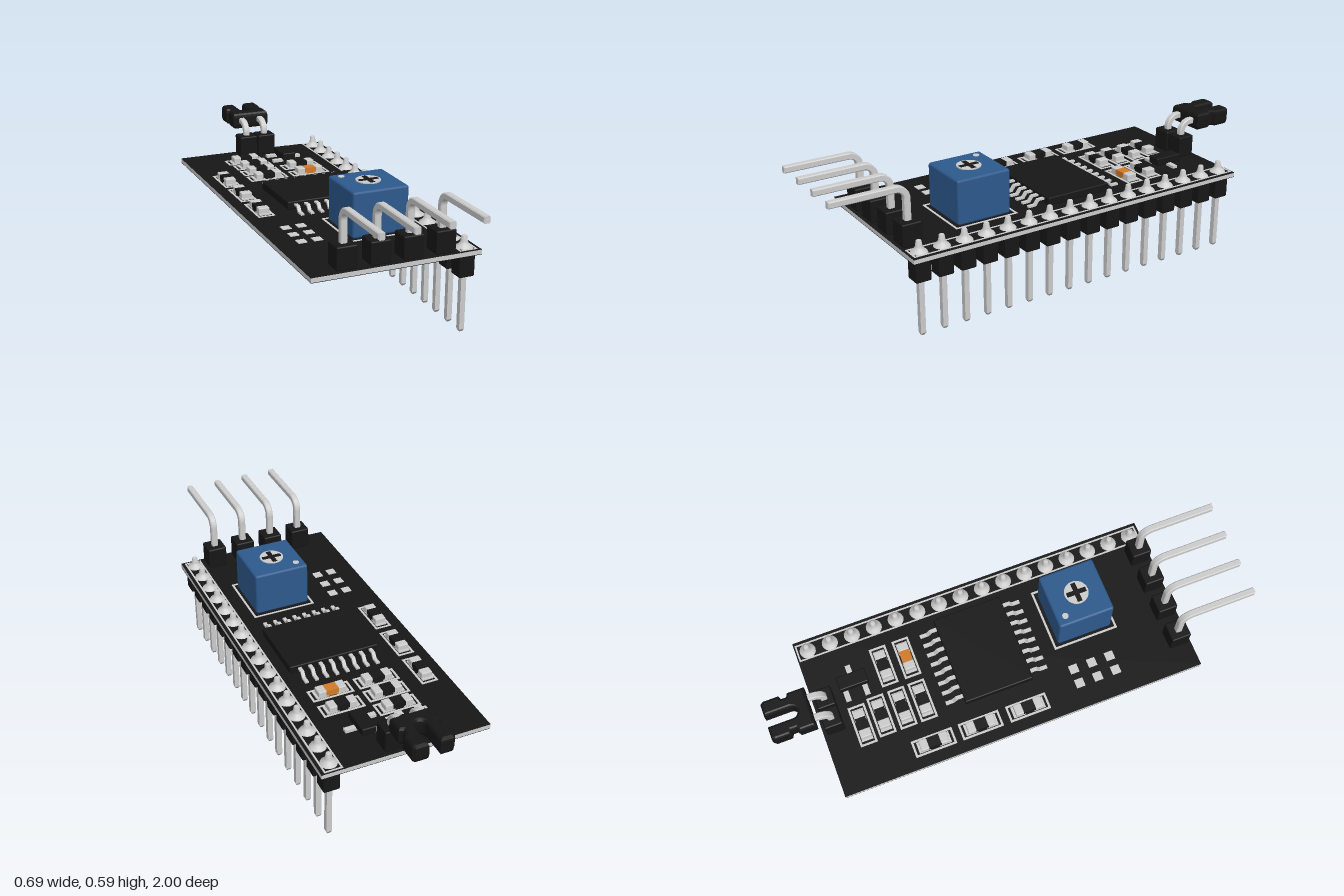
import * as THREE from 'three';
import { RoundedBoxGeometry } from 'three/addons/geometries/RoundedBoxGeometry.js';

const mat = (color) => new THREE.MeshStandardMaterial({ color });
const TOP = 0.347; // upper face of the board

export function createModel() {
  const model = new THREE.Group();
  const metal = mat(0xcccccc), black = mat(0x161616), blue = mat(0x2d598c), orange = mat(0xd07a28);

  const group = (name, parent = model) => {
    const g = new THREE.Group();
    g.name = name;
    parent.add(g);
    return g;
  };
  const add = (name, geo, m, x = 0, y = 0, z = 0, parent = model) => {
    const mesh = new THREE.Mesh(geo, m);
    mesh.name = name;
    mesh.position.set(x, y, z);
    parent.add(mesh);
    return mesh;
  };
  // box given by its size, centre in plan and its underside
  const box = (name, w, h, d, m, x, y, z, parent, r = 0) => add(name,
    r ? new RoundedBoxGeometry(w, h, d, 2, r) : new THREE.BoxGeometry(w, h, d), m, x, y + h / 2, z, parent);
  // printed rectangular outline on the board
  const outline = (w, d, x, z, parent, t = 0.009) => {
    const s = new THREE.Shape([[-w, -d], [w, -d], [w, d], [-w, d]].map(([a, b]) => new THREE.Vector2(a / 2, b / 2)));
    const a = w / 2 - t, b = d / 2 - t;
    s.holes.push(new THREE.Path([[-a, -b], [-a, b], [a, b], [a, -b]].map(([p, q]) => new THREE.Vector2(p, q))));
    const geo = new THREE.ExtrudeGeometry(s, { depth: 0.002, bevelEnabled: false }).rotateX(-Math.PI / 2);
    return add('printedOutline', geo, metal, x, TOP, z, parent);
  };

  // Circuit board: light core between two black faces
  const board = group('board');
  box('core', 0.695, 0.018, 1.55, metal, -0.002, 0.328, -0.035, board);
  box('topFace', 0.695, 0.002, 1.55, black, -0.002, 0.345, -0.035, board);
  box('bottomFace', 0.695, 0.002, 1.55, black, -0.002, 0.326, -0.035, board);

  // Long pin row below the board, with solder joints above
  const row = group('longPinHeader');
  outline(0.075, 1.535, 0.295, -0.037, row, 0.007);
  const solder = new THREE.LatheGeometry([[0.034, 0], [0.031, 0.006], [0.018, 0.016], [0.014, 0.026],
    [0.011, 0.046], [0.008, 0.049], [0, 0.049]].map(([r, y]) => new THREE.Vector2(r, y)), 16);
  const tip = new THREE.CylinderGeometry(0.0156, 0.009, 0.01, 4).rotateY(Math.PI / 4);
  for (let i = 0; i < 16; i++) {
    const z = 0.692 - i * 0.0967;
    const pin = group('longPin', row);
    box('housing', 0.066, 0.092, 0.066, black, 0.295, 0.235, z, pin, 0.006);
    box('shaft', 0.022, 0.33, 0.022, metal, 0.295, 0.01, z, pin);
    add('tip', tip, metal, 0.295, 0.005, z, pin);
    add('solderJoint', solder, metal, 0.295, TOP, z, pin);
    if (i === 0) box('squarePad', 0.052, 0.004, 0.052, metal, 0.295, TOP, z, pin);
  }

  // Right-angle pin: bent profile given a square section
  const bentPin = (height, reach, dir) => {
    const h = 0.0135, R = 0.045, b = 0.004;
    const s = new THREE.Shape();
    s.moveTo(-h, 0);
    s.lineTo(-h, height - R);
    s.absarc(R, height - R, R + h, Math.PI, Math.PI / 2, true);
    s.lineTo(reach, height + h);
    s.lineTo(reach, height - h);
    s.lineTo(R, height - h);
    s.absarc(R, height - R, R - h, Math.PI / 2, Math.PI, false);
    s.lineTo(h, 0);
    const geo = new THREE.ExtrudeGeometry(s, {
      depth: 2 * (h - b), bevelThickness: b, bevelSize: b, bevelOffset: -b, bevelSegments: 1, curveSegments: 8,
    });
    return geo.translate(0, 0, b - h).rotateY(-dir * Math.PI / 2);
  };

  // Front connector
  const front = group('frontConnector');
  const frontPin = bentPin(0.226, 0.313, 1);
  for (const x of [-0.203, -0.068, 0.066, 0.2]) {
    box('housing', 0.083, 0.094, 0.083, black, x, TOP, 0.687, front, 0.006);
    add('bentPin', frontPin, metal, x, TOP, 0.687, front);
  }

  // Rear connector with its jumper cap
  const rear = group('rearConnector');
  const rearPin = bentPin(0.148, 0.19, -1);
  for (const x of [-0.044, 0.044]) {
    box('housing', 0.083, 0.094, 0.076, black, x, TOP, -0.757, rear, 0.006);
    add('bentPin', rearPin, metal, x, TOP, -0.757, rear);
  }
  const cap = new THREE.Shape();
  cap.moveTo(-0.085, 0.815);
  [[0.085, 0.815], [0.085, 0.885], [0.07, 0.893], [0.07, 0.912], [0.085, 0.92], [0.085, 0.985], [0.075, 0.997],
    [0.022, 0.997], [0.022, 0.892]].forEach((p) => cap.lineTo(...p));
  cap.absarc(0, 0.892, 0.022, 0, Math.PI, true);
  [[-0.022, 0.997], [-0.075, 0.997], [-0.085, 0.985], [-0.085, 0.92], [-0.07, 0.912], [-0.07, 0.893],
    [-0.085, 0.885]].forEach((p) => cap.lineTo(...p));
  const capGeo = new THREE.ExtrudeGeometry(cap, {
    depth: 0.035, bevelThickness: 0.02, bevelSize: 0.012, bevelOffset: -0.012, bevelSegments: 3,
  }).rotateX(-Math.PI / 2);
  add('jumperCap', capGeo, black, 0, 0.476, 0, rear);

  // Blue trimmer with cross-slotted screw
  const trimmer = group('trimmer');
  outline(0.275, 0.28, 0.063, 0.34, trimmer);
  box('body', 0.237, 0.188, 0.237, blue, 0.063, TOP, 0.34, trimmer, 0.01);
  add('screw', new THREE.CylinderGeometry(0.05, 0.05, 0.006, 32), metal, 0.063, 0.536, 0.34, trimmer);
  box('slot', 0.084, 0.002, 0.02, black, 0.063, 0.538, 0.34, trimmer);
  box('slot', 0.02, 0.0022, 0.084, black, 0.063, 0.538, 0.34, trimmer);
  add('cornerMark', new THREE.CylinderGeometry(0.013, 0.013, 0.004, 20), metal, -0.016, 0.536, 0.26, trimmer);

  // Main chip with two rows of gull-wing legs
  const chip = group('chip');
  box('body', 0.385, 0.035, 0.295, black, 0.027, 0.352, -0.082, chip, 0.005);
  const legShape = new THREE.Shape([[0, 0.022], [0.025, 0.022], [0.04, 0.002], [0.075, 0.002], [0.075, 0.01],
    [0.045, 0.01], [0.03, 0.03], [0, 0.03]].map(([a, b]) => new THREE.Vector2(a, b)));
  const legGeo = new THREE.ExtrudeGeometry(legShape, { depth: 0.015, bevelEnabled: false })
    .translate(0, 0, -0.0075).rotateY(-Math.PI / 2);
  for (let i = 0; i < 8; i++) {
    const x = -0.131 + i * 0.0444;
    add('leg', legGeo, metal, x, TOP, 0.065, chip);
    add('leg', legGeo, metal, x, TOP, -0.229, chip).rotation.y = Math.PI;
  }

  // Small surface parts: dark or orange middle between two metal ends
  const smallPart = (x, z, turned, middle = black) => {
    const g = group('surfacePart');
    outline(0.175, 0.072, 0, 0, g);
    box('middle', 0.06, 0.026, 0.044, middle, 0, TOP, 0, g);
    for (const s of [-1, 1]) {
      box('end', 0.034, 0.028, 0.046, metal, s * 0.042, TOP, 0, g, 0.004);
      box('solderPad', 0.05, 0.005, 0.048, metal, s * 0.044, TOP, 0, g);
    }
    g.position.set(x, 0, z);
    if (turned) g.rotation.y = Math.PI / 2;
  };
  smallPart(-0.092, -0.65, false);
  for (const z of [-0.565, -0.475, -0.387]) smallPart(-0.081, z, false);
  smallPart(0.117, -0.487, false);
  smallPart(0.117, -0.387, false, orange);
  for (const z of [-0.405, -0.203, 0.003]) smallPart(-0.266, z, true);

  // Three-legged transistor
  const transistor = group('transistor');
  box('body', 0.06, 0.034, 0.124, black, 0.096, 0.354, -0.627, transistor, 0.005);
  for (const [x, z] of [[0.046, -0.668], [0.046, -0.586], [0.146, -0.627]]) {
    box('leg', 0.048, 0.012, 0.022, metal, x, TOP, z, transistor);
  }

  // Address pads
  const pads = group('addressPads');
  for (const x of [-0.245, -0.18]) {
    for (const z of [0.24, 0.32, 0.4]) box('pad', 0.037, 0.003, 0.037, metal, x, TOP, z, pads);
  }
  return model;
}
